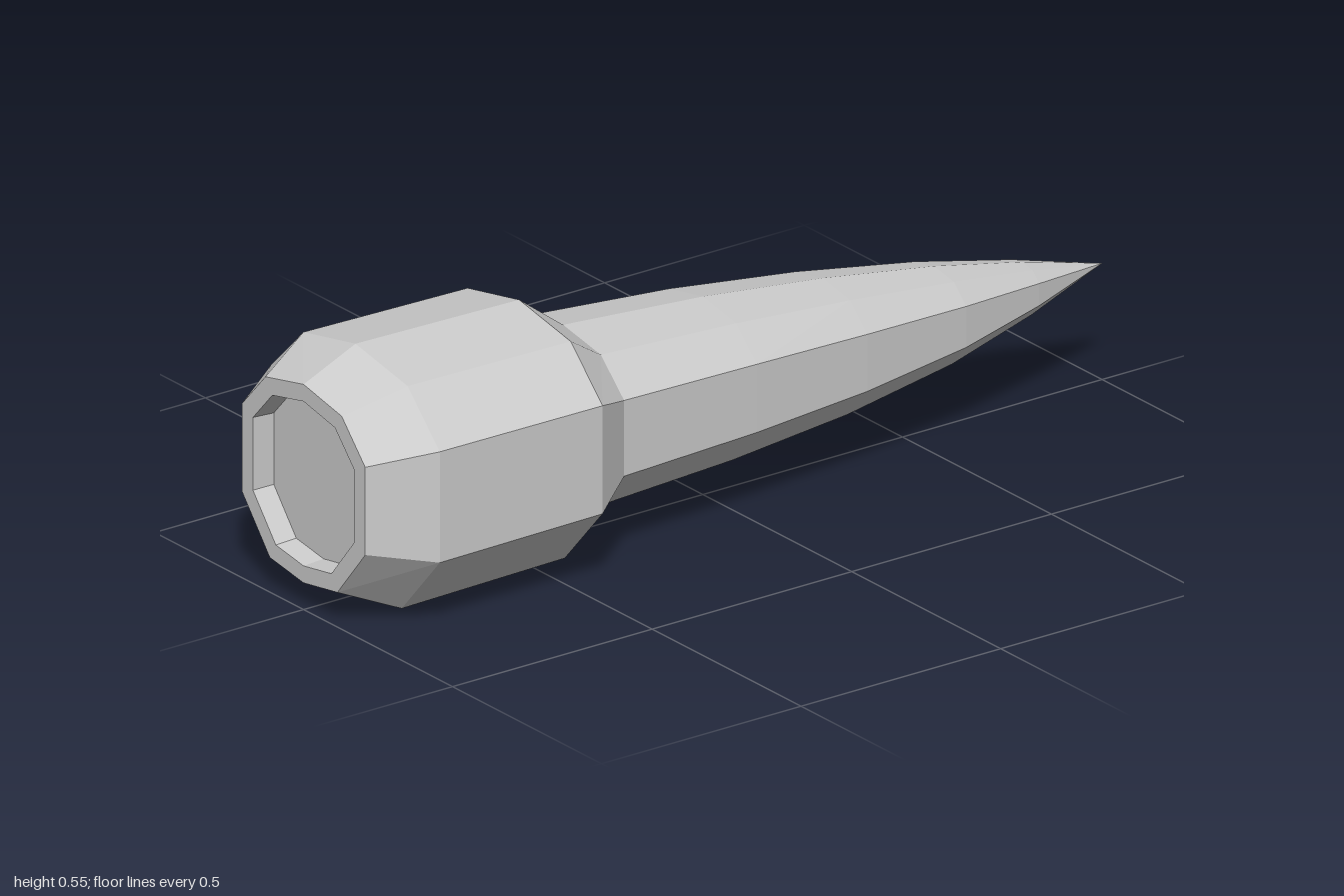
import * as THREE from 'three';

// Half of the ten-sided section, top to bottom: [z share of half width, y share of height]
const half = [[0, 1], [0.618, 0.939], [1, 0.743], [1, 0.301], [0.548, 0.04], [0, 0]];
const section = [...half, ...half.slice(1, -1).reverse().map(([z, y]) => [-z, y])];

// Skins a row of stations [x, half width, bottom, top]; zero width closes to a point
function loft(name, stations) {
  const n = section.length, positions = [], index = [];
  for (const [x, w, low, high] of stations)
    for (const [z, y] of section) positions.push(x, low + (high - low) * y, z * w);
  for (let i = 0; i < stations.length - 1; i++) {
    for (let j = 0; j < n; j++) {
      const a = i * n + j, c = i * n + (j + 1) % n, b = a + n, d = c + n;
      if (stations[i + 1][1] > 0) index.push(c, d, b);
      if (stations[i][1] > 0) index.push(a, c, b);
    }
  }
  const geometry = new THREE.BufferGeometry();
  geometry.setAttribute('position', new THREE.Float32BufferAttribute(positions, 3));
  geometry.setIndex(index);
  const flat = geometry.toNonIndexed();
  flat.computeVertexNormals();
  const mesh = new THREE.Mesh(flat, new THREE.MeshStandardMaterial({ color: 0xcccccc, flatShading: true }));
  mesh.name = name;
  return mesh;
}

export function createModel() {
  const group = new THREE.Group();
  group.name = 'spike';
  // Socket: recessed rear floor, rim, barrel and shoulder
  group.add(loft('socket', [
    [-0.95, 0, 0.275, 0.275],
    [-0.95, 0.167, 0.1, 0.452],
    [-1, 0.17, 0.097, 0.455],
    [-1, 0.207, 0.06, 0.492],
    [-0.87, 0.283, 0.002, 0.548],
    [-0.46, 0.28, 0.009, 0.541],
    [-0.35, 0.205, 0.086, 0.459],
  ]));
  // Spike: gently bowed taper down to the point
  group.add(loft('spikeTip', [
    [-0.35, 0.205, 0.086, 0.459],
    [0, 0.182, 0.097, 0.433],
    [0.3, 0.15, 0.117, 0.398],
    [0.58, 0.107, 0.152, 0.354],
    [0.8, 0.057, 0.199, 0.308],
    [1, 0, 0.255, 0.255],
  ]));
  return group;
}
